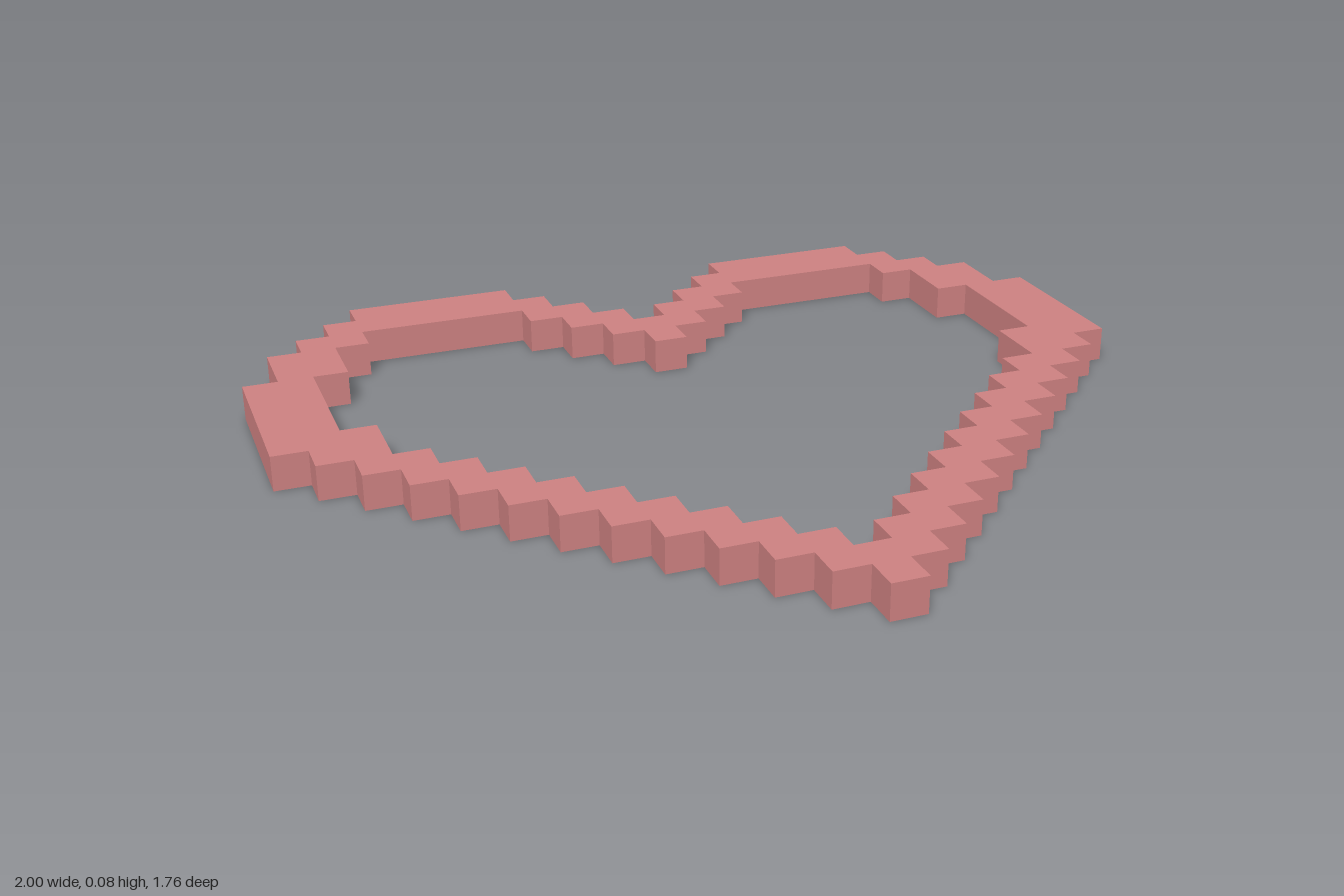
import * as THREE from 'three';

const CELL = 0.08; // one pixel of the stepped outline, also the height

// Walks half of a stepped outline in cells (z and x moves alternate), then mirrors it.
function steppedLoop(startZ, moves, stairs) {
  let x = 0.5, z = startZ;
  const half = [[x, z]];
  const path = [...moves, ...Array(stairs).fill([1, -1]).flat(), 1];
  path.forEach((step, i) => {
    if (i % 2) x += step; else z += step;
    half.push([x, z]);
  });
  const mirrored = half.map(([px, pz]) => [-px, pz]).reverse();
  return [...half, ...mirrored].map(([px, pz]) => new THREE.Vector2(px * CELL, pz * CELL));
}

// Upright wall along a closed loop, one flat quad per step
function wallGeometry(loop) {
  const positions = [];
  loop.forEach((a, i) => {
    const b = loop[(i + 1) % loop.length];
    positions.push(
      b.x, 0, b.y, a.x, 0, a.y, a.x, CELL, a.y,
      b.x, 0, b.y, a.x, CELL, a.y, b.x, CELL, b.y
    );
  });
  const geometry = new THREE.BufferGeometry();
  geometry.setAttribute('position', new THREE.Float32BufferAttribute(positions, 3));
  geometry.computeVertexNormals();
  return geometry;
}

export function createModel() {
  const group = new THREE.Group();
  group.name = 'pixelHeartFrame';

  const rose = new THREE.MeshStandardMaterial({ color: 0xcc8080, side: THREE.DoubleSide });
  rose.name = 'rose';

  const add = (name, geometry) => {
    const mesh = new THREE.Mesh(geometry, rose);
    mesh.name = name;
    group.add(mesh);
  };

  const outer = steppedLoop(-7, [-1, 1, -1, 1, -1, 1, -1, 5, 1, 1, 1, 1, 1, 1, 2, 1, 5, -1], 11);
  const inner = steppedLoop(-5, [-1, 1, -1, 1, -1, 1, -1, 5, 1, 1, 2, 1, 4, -1, 2, -1], 8);

  // Flat top band; the underside stays open
  const flip = (p) => new THREE.Vector2(p.x, -p.y);
  const band = new THREE.Shape(outer.map(flip));
  band.holes.push(new THREE.Path(inner.map(flip)));
  add('topBand', new THREE.ShapeGeometry(band).rotateX(-Math.PI / 2).translate(0, CELL, 0));

  // Walls around the outside and around the opening
  add('outerWall', wallGeometry(outer));
  add('innerWall', wallGeometry([...inner].reverse()));

  return group;
}
